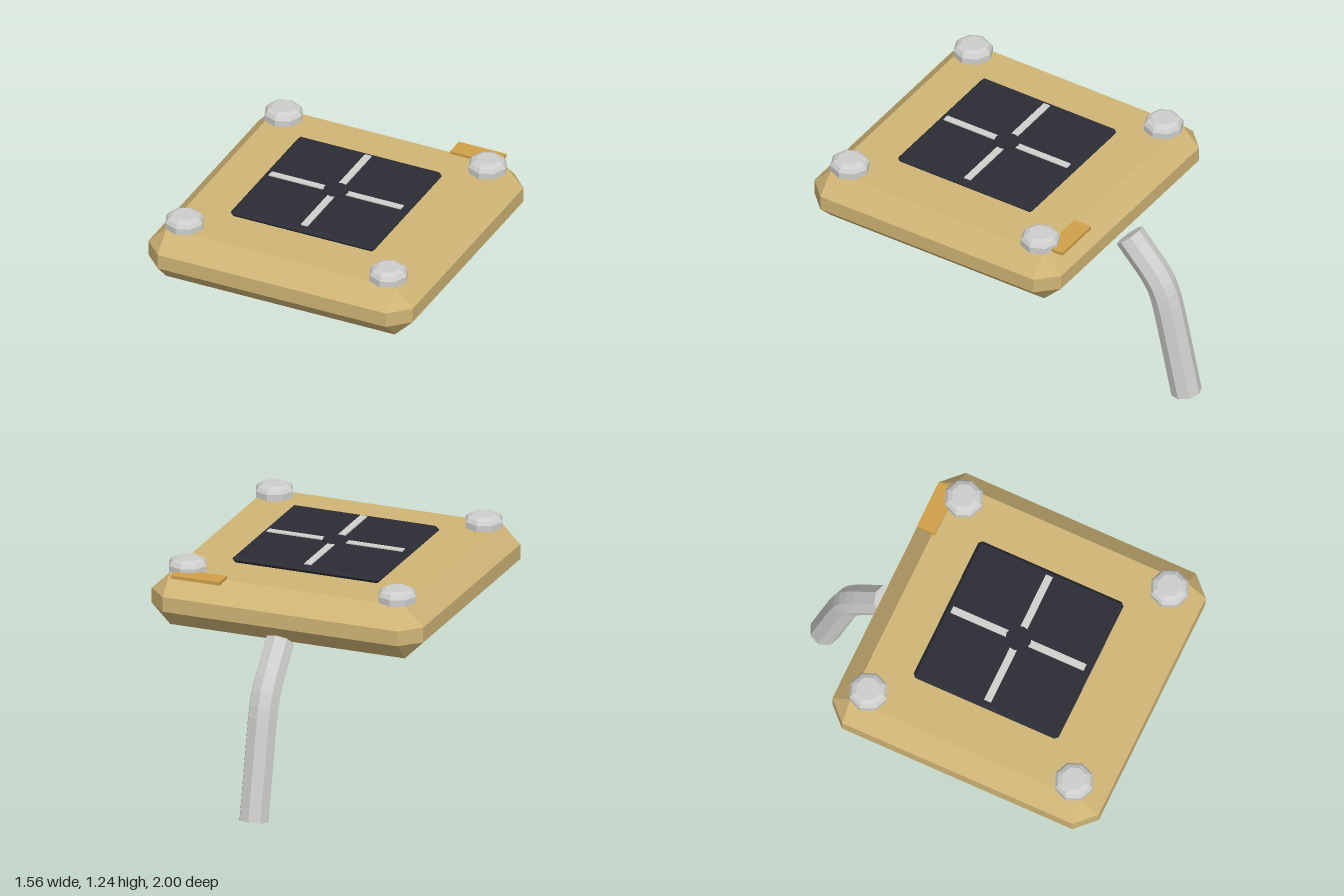
import * as THREE from 'three';
import { ConvexGeometry } from 'three/addons/geometries/ConvexGeometry.js';

const material = (name, color) => {
  const m = new THREE.MeshStandardMaterial({ color, flatShading: true });
  m.name = name;
  return m;
};

// Box with every edge cut back by one bevel: hx, hy, hz are half sizes
function bevelledBox(hx, hy, hz, b) {
  const points = [];
  for (const sx of [-1, 1]) for (const sy of [-1, 1]) for (const sz of [-1, 1]) {
    points.push(
      new THREE.Vector3(sx * hx, sy * (hy - b), sz * (hz - b)),
      new THREE.Vector3(sx * (hx - b), sy * hy, sz * (hz - b)),
      new THREE.Vector3(sx * (hx - b), sy * (hy - b), sz * hz));
  }
  return new ConvexGeometry(points);
}

export function createModel() {
  const model = new THREE.Group();
  const tan = material('tan', 0xd0b576);
  const metal = material('metal', 0xcdcdcb);
  const dark = material('dark panel', 0x2c2c35);
  const pale = material('pale strip', 0xcfd0cb);
  const amber = material('amber', 0xcfa04a);

  const add = (name, geometry, mat, x, y, z) => {
    const mesh = new THREE.Mesh(geometry, mat);
    mesh.name = name;
    mesh.position.set(x, y, z);
    model.add(mesh);
    return mesh;
  };

  const cz = 0.218;
  add('body', bevelledBox(0.78, 0.148, 0.78, 0.106), tan, 0, 1.023, cz);

  // Dark square panel with a cross and a round hub
  add('panel', bevelledBox(0.425, 0.02, 0.425, 0.018), dark, 0, 1.19, cz - 0.003);
  add('crossStripAcross', new THREE.BoxGeometry(0.78, 0.008, 0.04), pale, 0, 1.212, cz - 0.003);
  add('crossStripAlong', new THREE.BoxGeometry(0.04, 0.0078, 0.78), pale, 0, 1.212, cz - 0.003);
  add('hub', new THREE.CylinderGeometry(0.07, 0.07, 0.01, 12), dark, 0, 1.215, cz - 0.003);

  // Corner bolts
  const boltProfile = [[0, -0.005], [0.075, -0.005], [0.107, 0.004], [0.107, 0.04],
    [0.092, 0.061], [0.066, 0.074], [0, 0.074]].map(p => new THREE.Vector2(...p));
  const bolt = new THREE.LatheGeometry(boltProfile, 8);
  for (const x of [-0.602, 0.602]) {
    for (const z of [-0.385, 0.82]) add('bolt', bolt, metal, x, 1.166, z);
  }

  // Small tab over the back edge
  add('tab', new THREE.BoxGeometry(0.28, 0.018, 0.106), amber, 0.495, 1.179, -0.493);

  // Bent octagonal leg behind the body
  const path = new THREE.CatmullRomCurve3(
    [[0.91, -0.56], [0.83, -0.633], [0.75, -0.705], [0.68, -0.755], [0.605, -0.787],
      [0.53, -0.807], [0.28, -0.863], [0.018, -0.92]].map(([y, z]) => new THREE.Vector3(0, y, z)));
  const section = new THREE.Shape(Array.from({ length: 8 }, (_, i) => {
    const a = i * Math.PI / 4;
    return new THREE.Vector2(0.083 * Math.cos(a), 0.083 * Math.sin(a));
  }));
  add('leg', new THREE.ExtrudeGeometry(section, { steps: 16, extrudePath: path }), metal, 0, 0, 0);

  return model;
}
